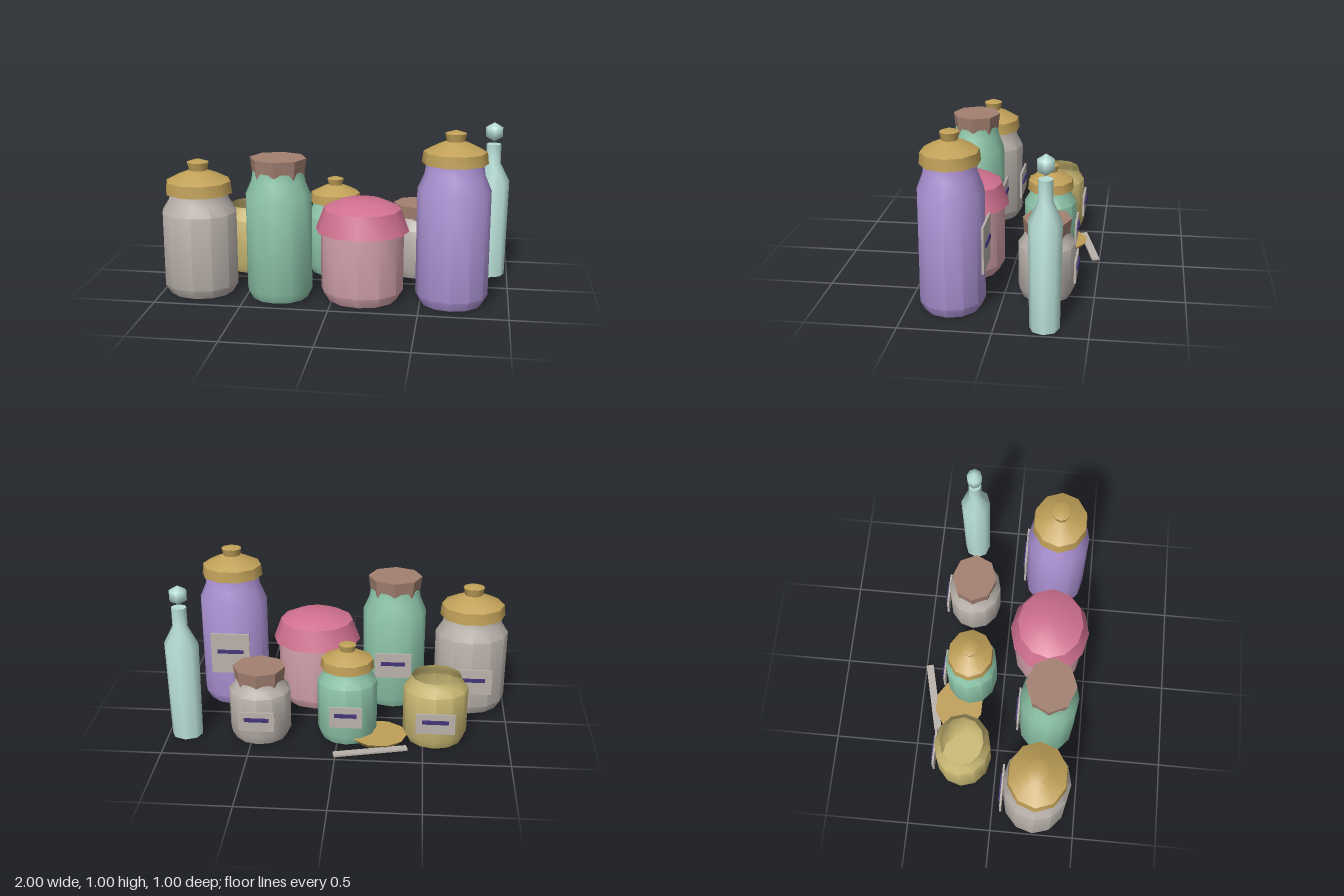
import * as THREE from 'three';
import { toCreasedNormals } from 'three/addons/utils/BufferGeometryUtils.js';

const DEPTH = 0.89; // every vessel is slightly flattened front to back

function mat(name, color, side = THREE.FrontSide) {
  const m = new THREE.MeshStandardMaterial({ color, side });
  m.name = name;
  return m;
}

// Revolved part from [radius, height] pairs, bottom to top, with corners on the x axis
function turned(name, points, sides, material, crease = 0.7) {
  const lathe = new THREE.LatheGeometry(points.map(([r, y]) => new THREE.Vector2(r, y)), sides);
  lathe.rotateY(Math.PI / 2);
  const geometry = toCreasedNormals(lathe, crease);
  geometry.scale(1, 1, DEPTH);
  const mesh = new THREE.Mesh(geometry, material);
  mesh.name = name;
  return mesh;
}

function box(name, w, h, d, material, x, y, z) {
  const mesh = new THREE.Mesh(new THREE.BoxGeometry(w, h, d), material);
  mesh.name = name;
  mesh.position.set(x, y, z);
  return mesh;
}

// Jar with a chamfered foot and a drawn-in neck
function jarBody(r, h, material, open) {
  const points = [
    [0, 0], [0.85 * r, 0], [r, 0.055], [r, 0.815 * h], [0.82 * r, 0.92 * h], [0.77 * r, h],
  ];
  if (!open) points.push([0, h]);
  return turned('jarBody', points, 12, material);
}

// Domed lid with a flared knob
function knobLid(r, y, material) {
  const profile = [
    [0, 0], [1, 0], [0.96, 0.35], [0.57, 0.55], [0.27, 0.665], [0.33, 0.905], [0, 1.01],
  ];
  const lid = turned('knobLid', profile.map(([a, b]) => [a * r, b * r]), 10, material);
  lid.position.y = y;
  return lid;
}

// Tapered stopper that sinks into the neck
function corkStopper(r, y, material) {
  const points = [[0, -0.05], [0.9 * r, -0.05], [0.94 * r, 0], [r, 0.075], [0, 0.075]];
  const cork = turned('corkStopper', points, 8, material);
  cork.position.y = y;
  return cork;
}

export function createModel() {
  const lilac = mat('lilac', 0xac92d4);
  const green = mat('green', 0x8ec6aa);
  const grey = mat('warmGrey', 0xbab2ac);
  const pink = mat('palePink', 0xd6a4ae);
  const rose = mat('rose', 0xd0708f);
  const gold = mat('gold', 0xc0a058);
  const yellow = mat('yellow', 0xcab974, THREE.DoubleSide);
  const brown = mat('cork', 0xa28070);
  const glass = mat('paleGlass', 0xb6dcd5);
  const navy = mat('indigo', 0x433478);

  const model = new THREE.Group();
  model.name = 'jarCollection';

  // Jars: position, size, closure and the label on the back [width, height, centre y]
  const jars = [
    { name: 'greyJar', x: -0.783, z: 0.255, r: 0.219, h: 0.595, body: grey, top: 'lid', label: [0.25, 0.163, 0.235] },
    { name: 'tallGreenJar', x: -0.31, z: 0.286, r: 0.19, h: 0.745, body: green, top: 'cork', label: [0.22, 0.16, 0.3] },
    { name: 'tallLilacJar', x: 0.677, z: 0.262, r: 0.205, h: 0.815, body: lilac, top: 'lid', label: [0.235, 0.26, 0.367] },
    { name: 'openYellowJar', x: -0.567, z: -0.2, r: 0.187, h: 0.41, body: yellow, top: 'open', label: [0.225, 0.125, 0.18] },
    { name: 'smallGreenJar', x: -0.053, z: -0.2, r: 0.174, h: 0.445, body: green, top: 'lid', label: [0.19, 0.13, 0.195] },
    { name: 'smallGreyJar', x: 0.457, z: -0.23, r: 0.18, h: 0.37, body: grey, top: 'cork', label: [0.21, 0.12, 0.167] },
  ];
  for (const { name, x, z, r, h, body, top, label } of jars) {
    const jar = new THREE.Group();
    jar.name = name;
    jar.position.set(x, 0, z);
    jar.add(jarBody(r, h, body, top === 'open'));
    if (top === 'lid') jar.add(knobLid(0.895 * r, h, gold));
    if (top === 'cork') jar.add(corkStopper(0.85 * r, h, brown));
    const [w, lh, ly] = label;
    const back = -r * DEPTH;
    jar.add(box('labelPlate', w, lh, 0.012, grey, 0, ly, back - 0.004));
    jar.add(box('labelStripe', 0.67 * w, 0.022, 0.009, navy, 0, ly + 0.015, back - 0.0145));
    model.add(jar);
  }

  // Squat pink jar under a wide rounded cap
  const squat = new THREE.Group();
  squat.name = 'squatPinkJar';
  squat.position.set(0.165, 0, 0.258);
  squat.add(turned('jarBody', [[0, 0], [0.2, 0], [0.237, 0.06], [0.237, 0.42], [0, 0.42]], 12, pink));
  squat.add(turned('roundedCap',
    [[0, 0.41], [0.267, 0.41], [0.22, 0.537], [0.125, 0.58], [0, 0.587]], 12, rose));
  model.add(squat);

  // Slim bottle with a faceted stopper hovering above the neck
  const bottle = new THREE.Group();
  bottle.name = 'slimBottle';
  bottle.position.set(0.893, 0, -0.263);
  bottle.add(turned('bottleBody',
    [[0, 0], [0.091, 0], [0.1, 0.59], [0.044, 0.7], [0.044, 0.815], [0, 0.815]], 8, glass, 0.9));
  const stopper = new THREE.Mesh(new THREE.SphereGeometry(0.058, 8, 3), glass);
  stopper.name = 'bottleStopper';
  stopper.position.y = 0.888;
  stopper.scale.z = DEPTH;
  bottle.add(stopper);
  model.add(bottle);

  // Loose lid lying on the floor
  const looseLid = turned('looseLid', [[0, 0], [0.12, 0], [0.168, 0.045], [0, 0.045]], 10, gold);
  looseLid.position.set(-0.24, 0, -0.265);
  model.add(looseLid);

  // Flat stick beside the loose lid
  const stick = box('flatStick', 0.43, 0.012, 0.045, grey, -0.2, 0.022, -0.43);
  stick.rotation.y = 0.235;
  model.add(stick);

  return model;
}
